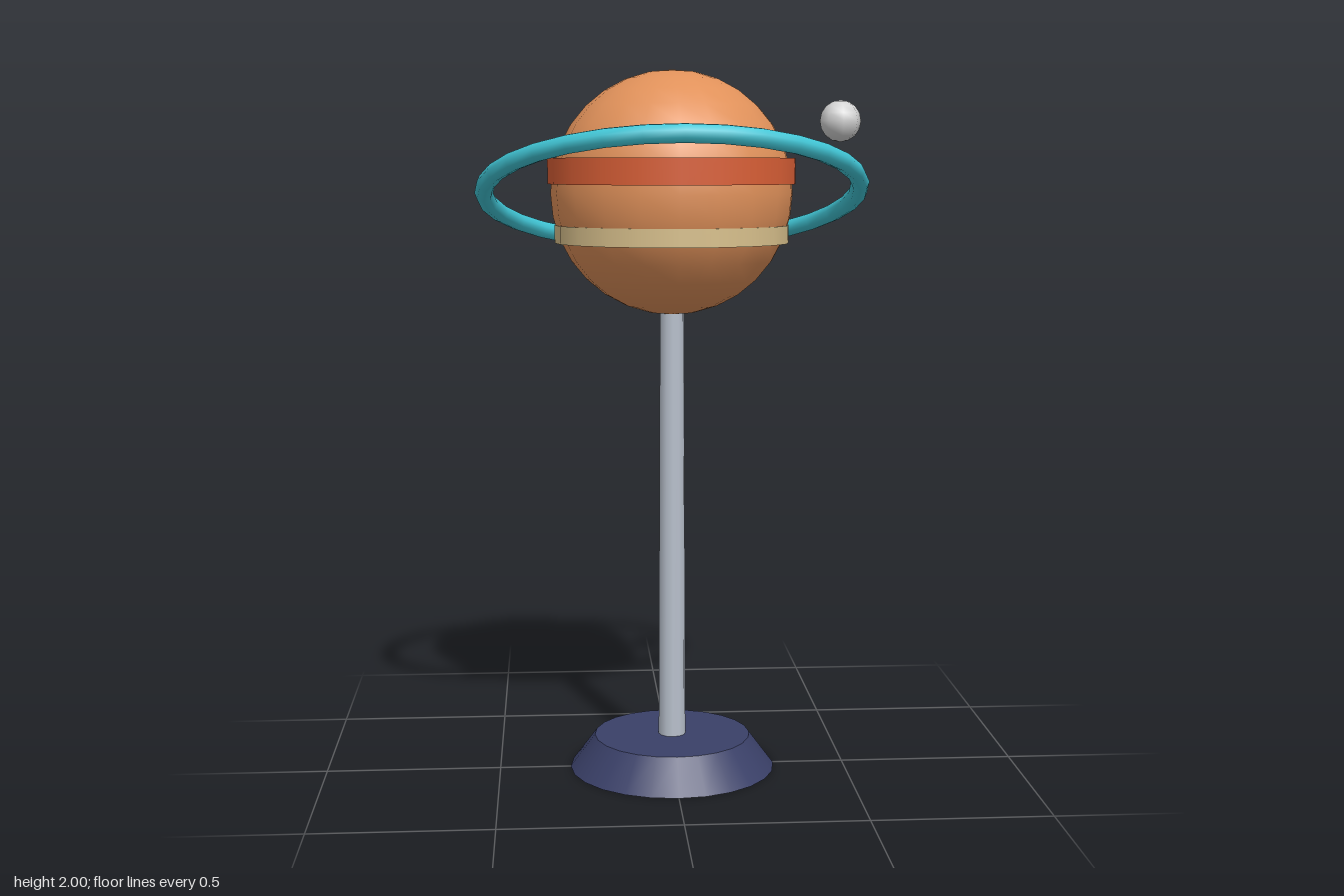
import * as THREE from 'three';

const material = (name, color) => {
  const m = new THREE.MeshStandardMaterial({ color });
  m.name = name;
  return m;
};

export function createModel() {
  const model = new THREE.Group();
  model.name = 'ringedPlanetOnStand';

  const navy = material('navy', 0x3a4068);
  const steel = material('steel', 0xb8c0cc);
  const orange = material('orange', 0xe0915a);
  const rust = material('rust', 0xd95f36);
  const sand = material('sand', 0xd8c08c);
  const teal = material('teal', 0x42c8d8);
  const moonGrey = material('moonGrey', 0xd4d4d4);

  const add = (name, geometry, mat, x, y, z) => {
    const mesh = new THREE.Mesh(geometry, mat);
    mesh.name = name;
    mesh.position.set(x, y, z);
    model.add(mesh);
    return mesh;
  };

  // Stand: sloped foot and slightly tapered pole
  const baseHeight = 0.095;
  add('base', new THREE.CylinderGeometry(0.225, 0.296, baseHeight, 24), navy, 0, baseHeight / 2, 0);
  add('pole', new THREE.CylinderGeometry(0.034, 0.039, 1.26, 12), steel, 0, 0.09 + 0.63, 0);

  // Planet with two raised bands
  const planetY = 1.66;
  add('planet', new THREE.SphereGeometry(0.34, 20, 16), orange, 0, planetY, 0);
  add('upperBand', new THREE.CylinderGeometry(0.348, 0.348, 0.072, 20), rust, 0, 1.721, 0);
  add('lowerBand', new THREE.CylinderGeometry(0.329, 0.329, 0.05, 20), sand, 0, 1.546, 0);

  // Ring tilted up toward the front
  const ring = add('ring', new THREE.TorusGeometry(0.525, 0.026, 8, 32), teal, 0, planetY, 0);
  ring.rotation.x = Math.PI / 2 - 0.305;

  // Small moon at the upper left
  add('moon', new THREE.SphereGeometry(0.057, 8, 8), moonGrey, 0.455, 1.857, 0.115);

  return model;
}
